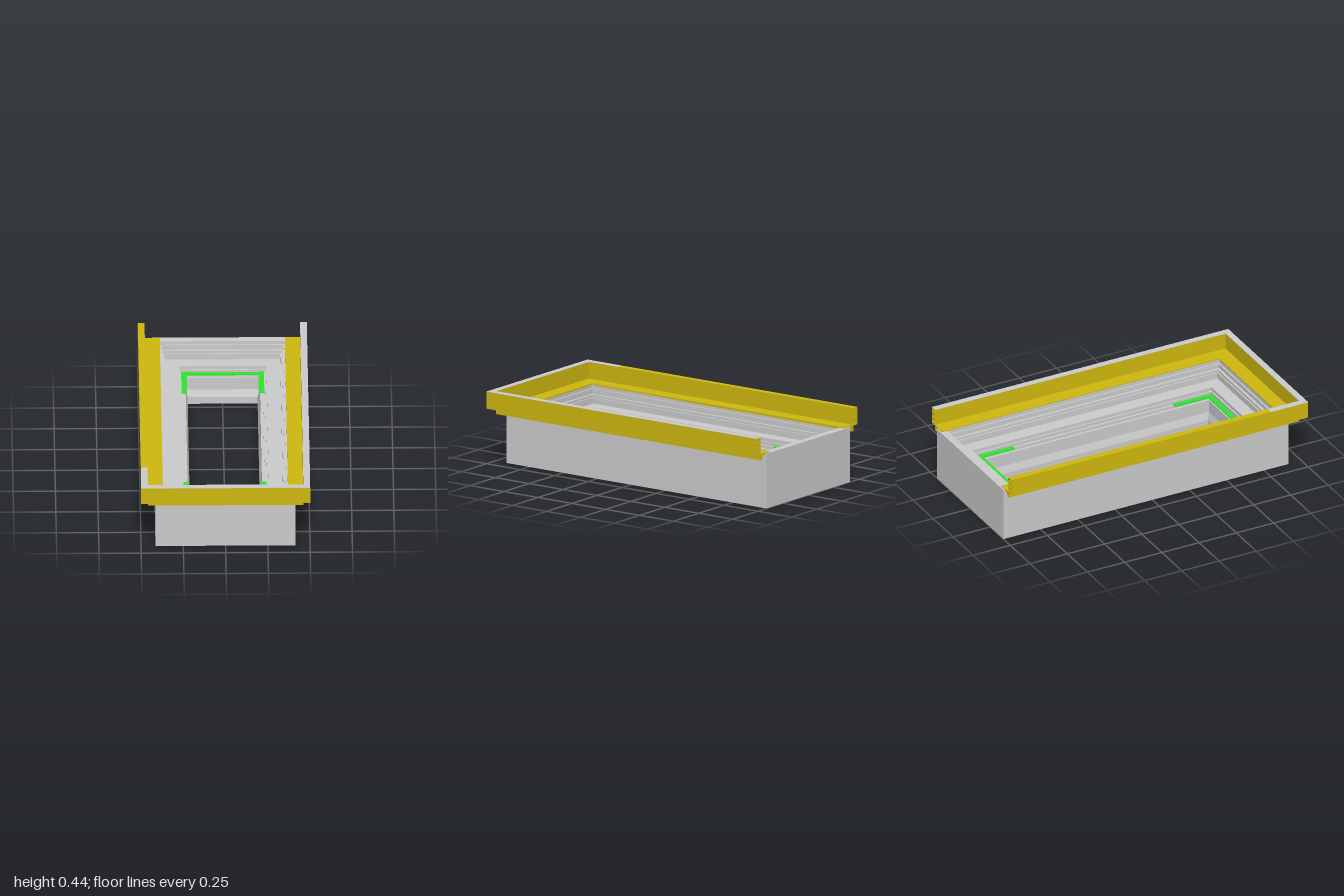
import * as THREE from 'three';

const grey = new THREE.MeshStandardMaterial({ color: 0xcccccc, flatShading: true, side: THREE.DoubleSide });
const yellow = new THREE.MeshStandardMaterial({ color: 0xcfb80f, flatShading: true, side: THREE.DoubleSide });
const green = new THREE.MeshStandardMaterial({ color: 0x2ee62e, flatShading: true, side: THREE.DoubleSide });

const OPEN_END = -0.99; // where the three-sided rails stop at the back
const frontZ = (r) => r + 0.5;
const backZ = (r) => -(r + 0.585);
const CORNERS = [[1, -1], [1, 1], [-1, 1], [-1, -1]];

// Sweeps a counter-clockwise section of [r, y] points round the mitred rectangle.
// A closed sweep has four sides; an open one is a U with capped back ends.
function sweep(name, material, section, closed, holes = []) {
  const pos = [];
  const place = ([r, y], k) => {
    const [sx, sz] = CORNERS[k % 4];
    return [sx * r, y, sz > 0 ? frontZ(r) : closed ? backZ(r) : OPEN_END];
  };
  const sides = closed ? 4 : 3;
  for (const loop of [section, ...holes]) {
    for (let k = 0; k < sides; k++) {
      loop.forEach((p, j) => {
        const q = loop[(j + 1) % loop.length];
        const a = place(p, k), b = place(q, k), c = place(q, k + 1), d = place(p, k + 1);
        pos.push(...a, ...b, ...c, ...a, ...c, ...d);
      });
    }
  }
  if (!closed) {
    const toV = (loop) => loop.map(([r, y]) => new THREE.Vector2(r, y));
    const all = [section, ...holes].flat();
    for (const [a, b, c] of THREE.ShapeUtils.triangulateShape(toV(section), holes.map(toV))) {
      pos.push(...place(all[a], 0), ...place(all[c], 0), ...place(all[b], 0));
      pos.push(...place(all[a], 3), ...place(all[b], 3), ...place(all[c], 3));
    }
  }
  const geo = new THREE.BufferGeometry();
  geo.setAttribute('position', new THREE.Float32BufferAttribute(pos, 3));
  geo.computeVertexNormals();
  const mesh = new THREE.Mesh(geo, material);
  mesh.name = name;
  return mesh;
}

const rect = (r0, r1, y0, y1) => [[r0, y0], [r1, y0], [r1, y1], [r0, y1]];

// Box given by its limits
function slab(name, material, x0, x1, y0, y1, z0, z1) {
  const mesh = new THREE.Mesh(new THREE.BoxGeometry(x1 - x0, y1 - y0, z1 - z0), material);
  mesh.position.set((x0 + x1) / 2, (y0 + y1) / 2, (z0 + z1) / 2);
  mesh.name = name;
  return mesh;
}

// Flat U-shaped strip with screw holes, drawn in x and z
function bracket(name, endOuter, endInner, legEnd) {
  const xo = 0.245, xi = 0.212;
  const shape = new THREE.Shape([
    [-xo, legEnd], [-xo, endOuter], [xo, endOuter], [xo, legEnd],
    [xi, legEnd], [xi, endInner], [-xi, endInner], [-xi, legEnd],
  ].map(([x, z]) => new THREE.Vector2(x, z)));
  const hole = (x, z) => shape.holes.push(new THREE.Path().absarc(x, z, 0.004, 0, Math.PI * 2, true));
  for (const x of [-0.18, -0.12, -0.06, 0.06, 0.12, 0.18]) hole(x, (endOuter + endInner) / 2);
  for (const t of [0.22, 0.5, 0.78]) {
    for (const s of [-1, 1]) hole(s * 0.2285, THREE.MathUtils.lerp(endOuter, legEnd, t));
  }
  const geo = new THREE.ExtrudeGeometry(shape, { depth: 0.006, bevelEnabled: false, curveSegments: 6 });
  geo.rotateX(Math.PI / 2);
  const mesh = new THREE.Mesh(geo, green);
  mesh.position.y = 0.194;
  mesh.name = name;
  return mesh;
}

export function createModel() {
  const model = new THREE.Group();
  model.name = 'steppedFrame';

  // Main body: plain outside, stepped and rebated towards the opening
  model.add(sweep('body', grey, [
    [0.207, 0], [0.415, 0], [0.415, 0.333], [0.37, 0.333], [0.37, 0.31],
    [0.36, 0.31], [0.36, 0.298], [0.366, 0.298], [0.366, 0.278], [0.35, 0.278],
    [0.35, 0.262], [0.342, 0.262], [0.342, 0.225], [0.26, 0.225], [0.26, 0.205],
    [0.25, 0.205], [0.25, 0.186], [0.236, 0.186], [0.236, 0.168], [0.22, 0.168],
    [0.22, 0.09], [0.207, 0.045],
  ], true));

  // Shelf: flat plate with a lip turned down at its outer edge
  model.add(sweep('shelf', yellow, [
    [0.37, 0.326], [0.446, 0.326], [0.446, 0.3], [0.46, 0.3], [0.46, 0.338], [0.37, 0.338],
  ], false));

  // Upper rim: hollow rail with three chambers
  const chambers = [0.343, 0.377, 0.411].map((y) => rect(0.467, 0.493, y, y + 0.022).reverse());
  model.add(sweep('rim', yellow, rect(0.46, 0.5, 0.335, 0.438), false, chambers));
  model.add(sweep('rimUnderside', grey, rect(0.463, 0.497, 0.3335, 0.3355), false));

  // Bare top edges of the rim; one long side stays coloured for most of its length
  model.add(slab('rimTopLeft', grey, 0.46, 0.5, 0.437, 0.44, OPEN_END, 1));
  model.add(slab('rimTopFront', grey, -0.46, 0.46, 0.437, 0.44, 0.96, 1));
  model.add(slab('rimTopRightCorner', grey, -0.5, -0.46, 0.437, 0.44, 0.75, 1));
  model.add(slab('rimTopRight', yellow, -0.5, -0.46, 0.437, 0.44, OPEN_END, 0.75));

  // Screw strips at both ends of the opening
  model.add(bracket('frontBracket', 0.745, 0.712, 0.49));
  model.add(bracket('backBracket', -0.83, -0.8, -0.585));

  return model;
}
